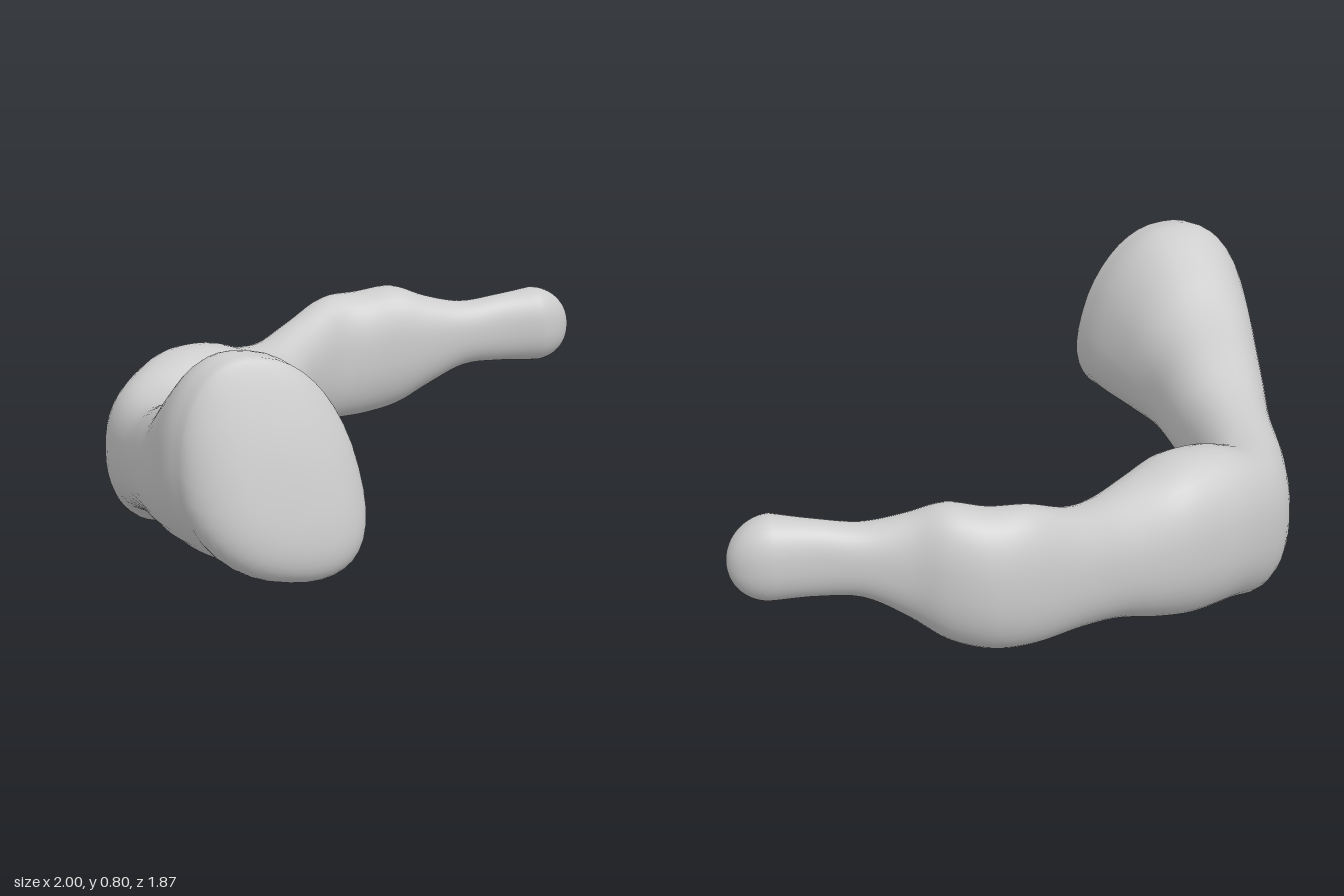
import * as THREE from 'three';
import { mergeVertices } from 'three/addons/utils/BufferGeometryUtils.js';

// Cross-sections along the bent limb:
// outer x, outer z, inner x, inner z, bottom y, top y
const SECTIONS = [
  [-0.985, 0.75, -0.49, 0.82, 0.185, 0.795],
  [-1.00, 0.66, -0.505, 0.72, 0.18, 0.795],
  [-0.985, 0.53, -0.545, 0.56, 0.18, 0.705],
  [-0.955, 0.38, -0.575, 0.39, 0.183, 0.60],
  [-0.91, 0.20, -0.58, 0.20, 0.17, 0.54],
  [-0.86, 0.00, -0.585, 0.00, 0.14, 0.48],
  [-0.805, -0.28, -0.555, -0.17, 0.08, 0.457],
  [-0.73, -0.48, -0.49, -0.27, 0.0, 0.468],
  [-0.58, -0.61, -0.40, -0.32, 0.025, 0.515],
  [-0.43, -0.67, -0.29, -0.345, 0.02, 0.515],
  [-0.29, -0.71, -0.19, -0.395, 0.045, 0.478],
  [-0.15, -0.775, -0.06, -0.51, 0.10, 0.464],
  [0.00, -0.86, 0.06, -0.63, 0.135, 0.495],
  [0.16, -0.92, 0.18, -0.70, 0.135, 0.55],
  [0.30, -0.935, 0.28, -0.695, 0.14, 0.558],
  [0.42, -0.90, 0.39, -0.672, 0.17, 0.573],
  [0.52, -0.84, 0.50, -0.655, 0.235, 0.537],
  [0.64, -0.793, 0.62, -0.64, 0.295, 0.513],
  [0.76, -0.765, 0.75, -0.62, 0.302, 0.528],
  [0.88, -0.76, 0.87, -0.58, 0.297, 0.547],
];
const BASE_TIP = new THREE.Vector3(-0.72, 0.42, 0.90);
const KNOB_TIP = new THREE.Vector3(1.0, 0.415, -0.66);

const RING = 40;
const STEPS = 95;
const CAP_STEPS = 14;

const curveOf = (pick) => new THREE.CatmullRomCurve3(
  SECTIONS.map((s) => new THREE.Vector3(...pick(s))), false, 'catmullrom', 0.5);
const outer = curveOf((s) => [s[0], s[5], s[1]]);
const inner = curveOf((s) => [s[2], s[4], s[3]]);

// Slightly squared circle function
const soft = (v) => Math.sign(v) * Math.abs(v) ** 0.88;

// Section at t; the broad base end is skewed and narrower at the top
function sectionAt(t) {
  const o = outer.getPoint(t);
  const n = inner.getPoint(t);
  const base = 1 - THREE.MathUtils.smoothstep(t, 0, 0.35);
  return {
    mid: o.clone().add(n).multiplyScalar(0.5),
    half: o.clone().sub(n).multiplyScalar(0.5),
    skew: -0.2 * base,
    taper: 0.15 * base,
    lean: 0,
  };
}

// Section of a rounded cap, shrinking towards its tip as f goes 0 to 1
function capSection(end, tip, f, power, lean) {
  const scale = (1 - f * f) ** power;
  return {
    ...end,
    mid: end.mid.clone().lerp(tip, f),
    half: end.half.clone().multiplyScalar(scale),
    lean: lean * f * scale,
  };
}

function limbGeometry() {
  const sections = [];
  const capFraction = (i) => Math.sin((i / CAP_STEPS) * Math.PI / 2);
  for (let i = CAP_STEPS; i > 0; i--) {
    sections.push(capSection(sectionAt(0), BASE_TIP, capFraction(i), 0.34, -0.06));
  }
  for (let i = 0; i <= STEPS; i++) sections.push(sectionAt(i / STEPS));
  for (let i = 1; i <= CAP_STEPS; i++) {
    sections.push(capSection(sectionAt(1), KNOB_TIP, capFraction(i), 0.5, 0));
  }

  const positions = [];
  const index = [];
  const last = sections.length - 1;
  sections.forEach(({ mid, half, skew, taper, lean }, i) => {
    for (let j = 0; j < RING; j++) {
      const a = (j / RING) * Math.PI * 2;
      const up = soft(Math.sin(a));
      const side = soft(Math.cos(a + skew)) * (1 - taper * up);
      positions.push(
        mid.x + half.x * side,
        mid.y + half.y * up,
        mid.z + half.z * side + lean * up);
      const p = i * RING + j;
      const q = i * RING + (j + 1) % RING;
      if (i > 0 && i < last) index.push(p, q, p + RING);
      if (i < last - 1) index.push(q, q + RING, p + RING);
    }
  });
  const geometry = new THREE.BufferGeometry();
  geometry.setAttribute('position', new THREE.Float32BufferAttribute(positions, 3));
  geometry.setIndex(index);
  // Weld the closed tips so they shade smoothly
  const welded = mergeVertices(geometry, 1e-5);
  welded.computeVertexNormals();
  return welded;
}

export function createModel() {
  const grey = new THREE.MeshStandardMaterial({ color: 0xcccccc });
  grey.name = 'light grey';

  const model = new THREE.Group();
  model.name = 'bentBone';

  const limb = new THREE.Mesh(limbGeometry(), grey);
  limb.name = 'bentShaft';
  model.add(limb);
  return model;
}
